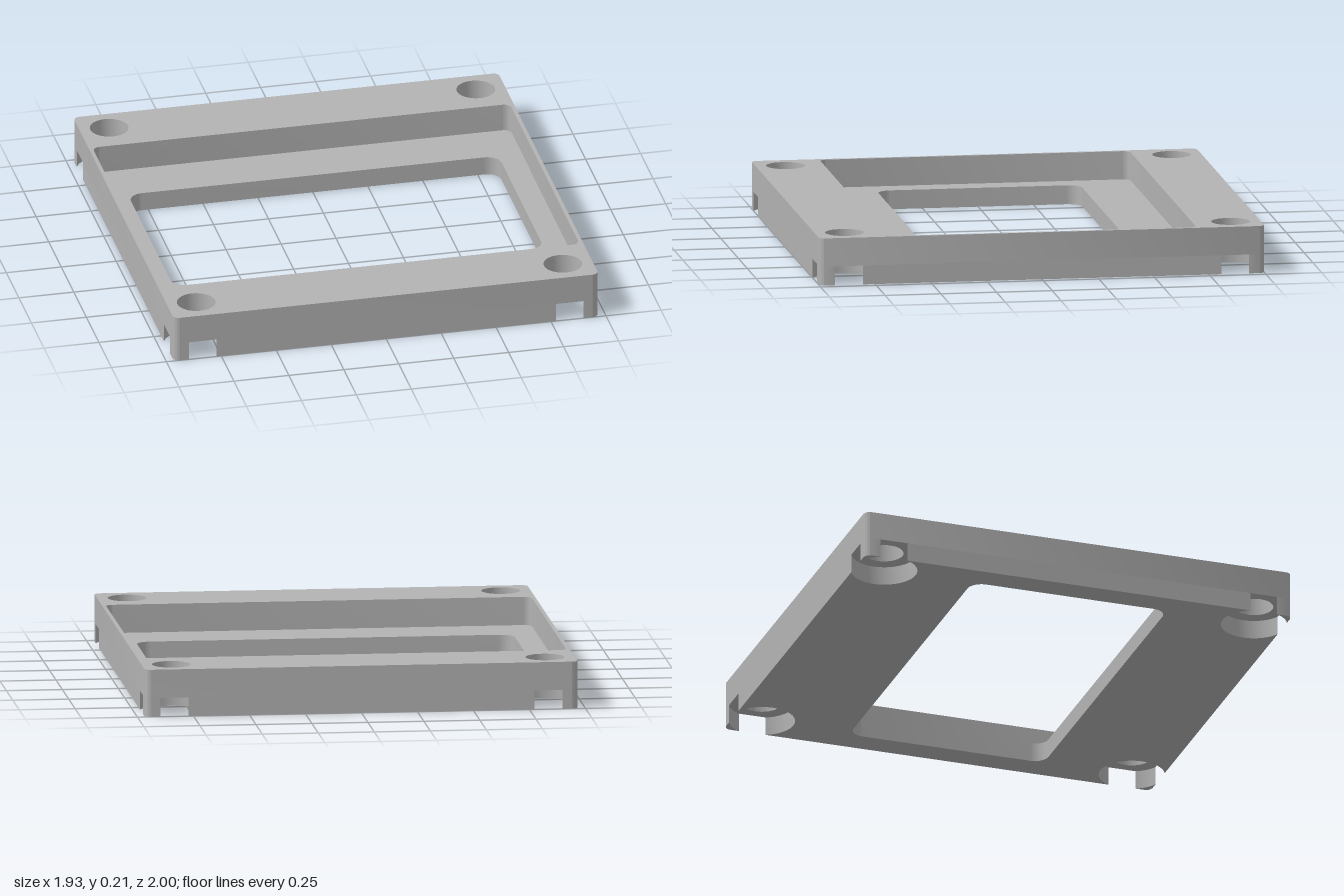
import * as THREE from 'three';
import { toCreasedNormals } from 'three/addons/utils/BufferGeometryUtils.js';

const HALF_X = 0.967, HALF_Z = 1, HEIGHT = 0.212, FLOOR = 0.085;
const CORNER = 0.03;              // outer corner radius
const BORE = 0.147, HOLE = 0.086; // counterbore and screw hole radii
const INSET = 0.133;              // hole centre to outer walls
const CX = HALF_X - INSET, CZ = HALF_Z - INSET;
const QUARTER = Math.PI / 2;
const corners = [[1, 1], [-1, 1], [-1, -1], [1, -1]];

// Rounded rectangle path, counter-clockwise
function roundedRect(path, hx, hz, r) {
  corners.forEach(([sx, sz], k) => {
    path.absarc(sx * (hx - r), sz * (hz - r), r, k * QUARTER, (k + 1) * QUARTER, false);
  });
  path.closePath();
  return path;
}

// Horizontal slab from a plan shape, between two heights
function slab(name, shape, y0, y1, material) {
  const geo = new THREE.ExtrudeGeometry(shape, { depth: y1 - y0, bevelEnabled: false, curveSegments: 20 });
  geo.rotateX(-QUARTER);
  geo.translate(0, y0, 0);
  const mesh = new THREE.Mesh(toCreasedNormals(geo, 0.6), material);
  mesh.name = name;
  return mesh;
}

export function createModel() {
  const group = new THREE.Group();
  group.name = 'bezelFrame';
  const grey = new THREE.MeshStandardMaterial({ color: 0xb3b3b3 });
  grey.name = 'grey';

  // Upper rim: wide front and back bars, thin sides, four screw holes
  const rim = roundedRect(new THREE.Shape(), HALF_X, HALF_Z, CORNER);
  rim.holes.push(roundedRect(new THREE.Path(), 0.95, 0.696, 0.035));
  for (const [sx, sz] of corners) {
    rim.holes.push(new THREE.Path().absarc(sx * CX, sz * CZ, HOLE, 0, Math.PI * 2, false));
  }
  group.add(slab('upperRim', rim, FLOOR, HEIGHT, grey));

  // Base plate: window opening, counterbores breaking through the side walls
  const a = Math.acos(INSET / BORE);
  const base = new THREE.Shape();
  corners.forEach(([sx, sz], k) => {
    base.absarc(sx * CX, sz * CZ, BORE, k * QUARTER - a, (k + 1) * QUARTER + a, true);
  });
  base.closePath();
  base.holes.push(roundedRect(new THREE.Path(), 0.843, 0.457, 0.065));
  group.add(slab('basePlate', base, 0, FLOOR, grey));

  // Corner feet left standing outside each counterbore
  corners.forEach(([sx, sz], k) => {
    const foot = new THREE.Shape();
    foot.absarc(sx * (HALF_X - CORNER), sz * (HALF_Z - CORNER), CORNER, k * QUARTER, (k + 1) * QUARTER, false);
    foot.absarc(sx * CX, sz * CZ, BORE, (k + 1) * QUARTER - a, k * QUARTER + a, true);
    foot.closePath();
    group.add(slab('cornerFoot' + (k + 1), foot, 0, FLOOR, grey));
  });

  return group;
}
